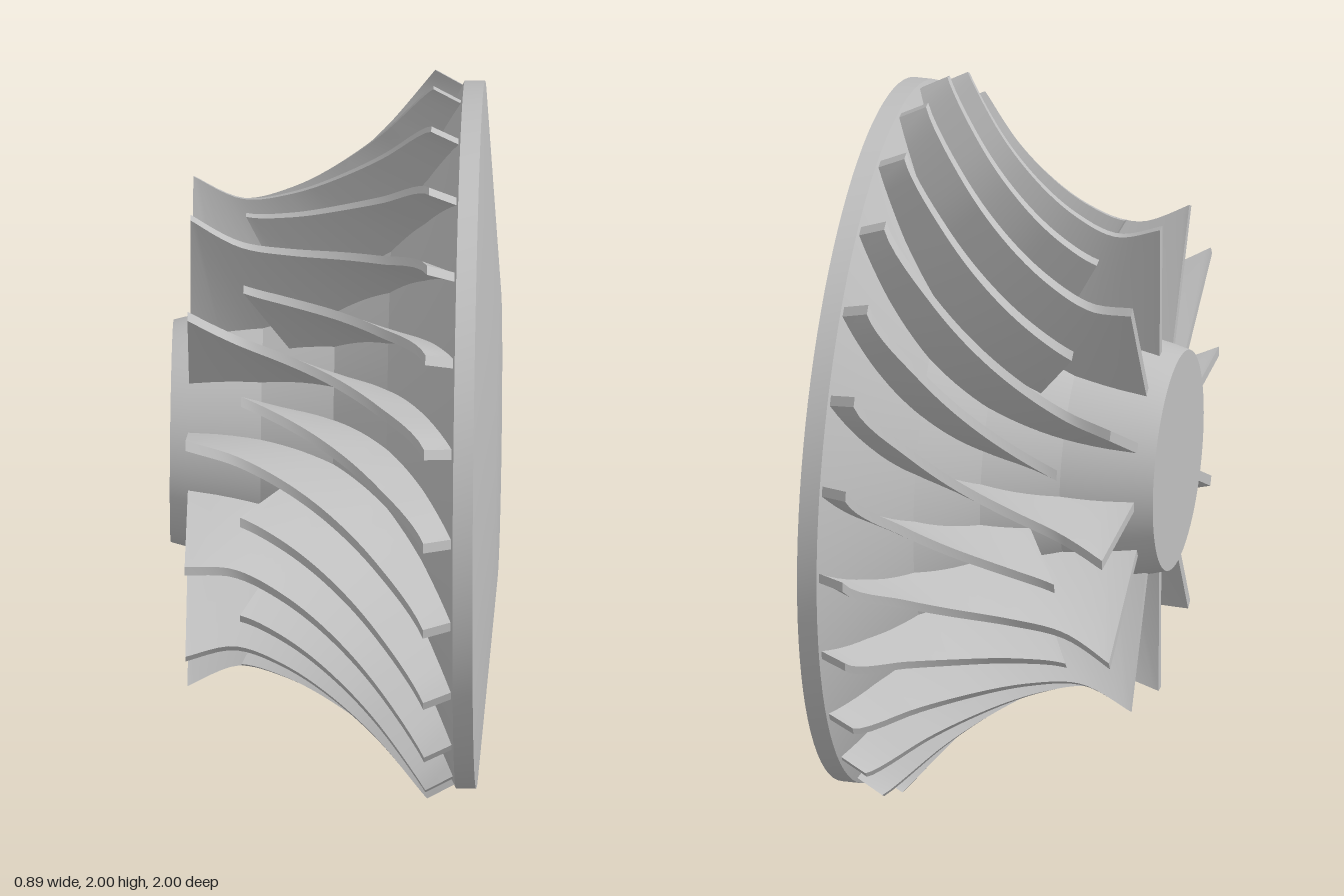
import * as THREE from 'three';
import { toCreasedNormals } from 'three/addons/utils/BufferGeometryUtils.js';

const rad = THREE.MathUtils.degToRad;
const v2 = (a) => a.map(([x, r]) => new THREE.Vector2(x, r));

// hub line (axial position, radius)
const hubLine = [[-0.45, 0.305], [-0.4, 0.318], [-0.2, 0.36], [0, 0.46], [0.15, 0.62], [0.25, 0.79], [0.34, 0.97]];
// outer blade edge, evenly spaced along the axis
const tipCurve = new THREE.SplineCurve(v2([
  [-0.4, 0.7], [-0.268, 0.645], [-0.136, 0.67], [-0.004, 0.738], [0.128, 0.845], [0.26, 1.0],
]));

function hubRadius(x) {
  let i = 1;
  while (i < hubLine.length - 1 && x > hubLine[i][0]) i++;
  const [x0, r0] = hubLine[i - 1], [x1, r1] = hubLine[i];
  return r0 + (r1 - r0) * (x - x0) / (x1 - x0);
}

// curved blade swept from inlet (u = start) to outlet (u = 1)
function bladeGeometry(start) {
  const steps = 28, half = 0.014, pos = [], idx = [];
  for (let i = 0; i <= steps; i++) {
    const u = start + (1 - start) * i / steps;
    const phi = -rad(30 * Math.pow(u, 1.3));
    const tip = tipCurve.getPoint(u);
    const hx = -0.4 + 0.735 * Math.pow(u, 0.65);
    const hr = hubRadius(hx) - 0.02 * (1 - u);
    for (const [x, r, s] of [[hx, hr, -1], [hx, hr, 1], [tip.x, tip.y, 1], [tip.x, tip.y, -1]]) {
      const a = phi + s * half / r;
      pos.push(x, r * Math.sin(a), r * Math.cos(a));
    }
  }
  for (let i = 0; i < steps; i++) {
    for (let j = 0; j < 4; j++) {
      const a = i * 4 + j, b = i * 4 + (j + 1) % 4;
      idx.push(a, b, b + 4, a, b + 4, a + 4);
    }
  }
  const e = steps * 4;
  idx.push(0, 3, 2, 0, 2, 1, e, e + 1, e + 2, e, e + 2, e + 3);
  const g = new THREE.BufferGeometry();
  g.setAttribute('position', new THREE.Float32BufferAttribute(pos, 3));
  g.setIndex(idx);
  return toCreasedNormals(g, 0.6);
}

export function createModel() {
  const metal = new THREE.MeshStandardMaterial({ color: 0xbfbfbf });
  metal.name = 'grey metal';
  const model = new THREE.Group();
  model.name = 'impeller';

  // turned bodies, lathed about y then laid along x
  const turned = (name, line) => {
    const points = line.map(([x, r]) => new THREE.Vector2(r, x));
    const mesh = new THREE.Mesh(toCreasedNormals(new THREE.LatheGeometry(points, 96), 0.13), metal);
    mesh.name = name;
    mesh.rotation.z = -Math.PI / 2;
    mesh.position.y = 1;
    model.add(mesh);
  };
  turned('hub', [[-0.45, 0], ...hubLine]);
  turned('backDisc', [[0.34, 0.9], [0.34, 0.97], [0.395, 0.97], [0.445, 0.4], [0.445, 0]]);

  // twelve full blades with a shorter splitter between each pair
  const full = bladeGeometry(0), splitter = bladeGeometry(0.227);
  for (let i = 0; i < 24; i++) {
    const blade = new THREE.Mesh(i % 2 ? splitter : full, metal);
    blade.name = i % 2 ? 'splitterBlade' : 'fullBlade';
    blade.rotation.x = -rad(15 * i - 0.7);
    blade.position.y = 1;
    model.add(blade);
  }
  return model;
}
